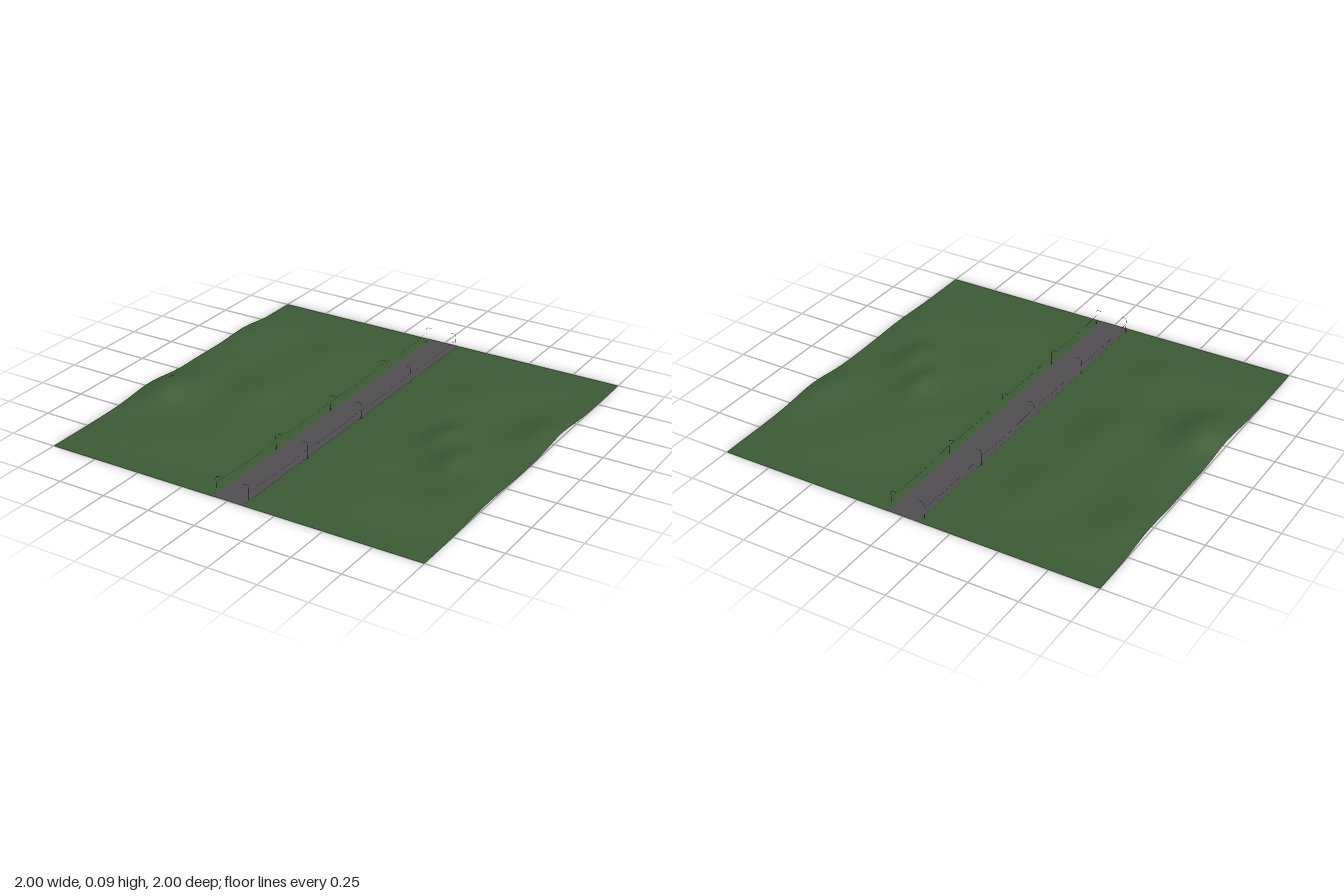
import * as THREE from 'three';

const ROAD = 0.08; // half width of the road

// hills: x, z, height, spread in x, spread in z
const HILLS = [
  [-0.87, 0.25, 0.066, 0.1, 0.14], [-0.48, 0.03, 0.038, 0.12, 0.15],
  [-0.9, -0.56, 0.028, 0.12, 0.13], [-0.4, -0.52, 0.02, 0.12, 0.12],
  [-0.5, 0.67, 0.024, 0.16, 0.1], [-0.85, -0.15, 0.018, 0.15, 0.15],
  [0.7, 0.17, 0.046, 0.07, 0.1], [0.54, -0.02, 0.04, 0.06, 0.1],
  [0.92, -0.32, 0.033, 0.08, 0.13], [0.55, 0.64, 0.018, 0.14, 0.09],
  [0.5, -0.5, 0.018, 0.14, 0.12], [0.85, 0.45, 0.018, 0.1, 0.15],
];

function groundHeight(x, z) {
  let h = 0;
  for (const [cx, cz, top, sx, sz] of HILLS) {
    h += top * Math.exp(-(((x - cx) / sx) ** 2 + ((z - cz) / sz) ** 2) / 1.8);
  }
  h += 0.003 * (1 + Math.sin(9 * x + 2) * Math.cos(8 * z));
  const fromRoad = THREE.MathUtils.smoothstep(Math.abs(x), 0.12, 0.42);
  const fromEnds = 1 - THREE.MathUtils.smoothstep(Math.abs(z), 0.65, 0.9);
  return h * fromRoad * fromEnds;
}

export function createModel() {
  const model = new THREE.Group();
  const grass = new THREE.MeshStandardMaterial({ color: 0x3b5b34, side: THREE.DoubleSide });
  grass.name = 'grass';
  const asphalt = new THREE.MeshStandardMaterial({ color: 0x514e51, side: THREE.DoubleSide });
  asphalt.name = 'asphalt';
  const darkMetal = new THREE.MeshStandardMaterial({ color: 0x222222 });
  darkMetal.name = 'darkMetal';

  const add = (name, geometry, material, parent = model) => {
    const mesh = new THREE.Mesh(geometry, material);
    mesh.name = name;
    parent.add(mesh);
    return mesh;
  };

  // rolling ground on both sides of the road
  for (const side of [-1, 1]) {
    const ground = new THREE.PlaneGeometry(1 - ROAD, 2, 24, 50);
    ground.rotateX(-Math.PI / 2);
    ground.translate(side * (1 + ROAD) / 2, 0, 0);
    const p = ground.attributes.position;
    for (let i = 0; i < p.count; i++) p.setY(i, groundHeight(p.getX(i), p.getZ(i)));
    ground.computeVertexNormals();
    add(side > 0 ? 'leftGround' : 'rightGround', ground, grass);
  }

  // road
  const road = new THREE.PlaneGeometry(2 * ROAD, 2);
  road.rotateX(-Math.PI / 2);
  road.translate(0, 0.001, 0);
  add('road', road, asphalt);

  // street lamps with curved arms, and sagging cables between them
  const v = (x, y, z = 0) => new THREE.Vector3(x, y, z);
  const poleCurve = new THREE.CatmullRomCurve3([
    v(0, 0), v(0, 0.04), v(0, 0.075), v(-0.006, 0.084), v(-0.025, 0.085),
  ]);
  const poleGeometry = new THREE.TubeGeometry(poleCurve, 20, 0.0007, 5);
  const headGeometry = new THREE.BoxGeometry(0.006, 0.001, 0.002);
  const step = 0.48;
  const cableCurve = new THREE.QuadraticBezierCurve3(
    v(0, 0.053), v(0, 0.032, step / 2), v(0, 0.053, step));
  const cableGeometry = new THREE.TubeGeometry(cableCurve, 14, 0.0004, 4);

  for (const side of [-1, 1]) {
    for (let i = 0; i < 5; i++) {
      const lamp = new THREE.Group();
      lamp.name = 'streetLamp';
      lamp.position.set(side * 0.088, 0, -0.96 + i * step);
      const arm = new THREE.Group();
      arm.name = 'lampPost';
      arm.rotation.y = side > 0 ? 0 : Math.PI;
      add('pole', poleGeometry, darkMetal, arm);
      add('lampHead', headGeometry, darkMetal, arm).position.set(-0.025, 0.0845, 0);
      lamp.add(arm);
      if (i < 4) add('cable', cableGeometry, darkMetal, lamp);
      model.add(lamp);
    }
  }
  return model;
}
